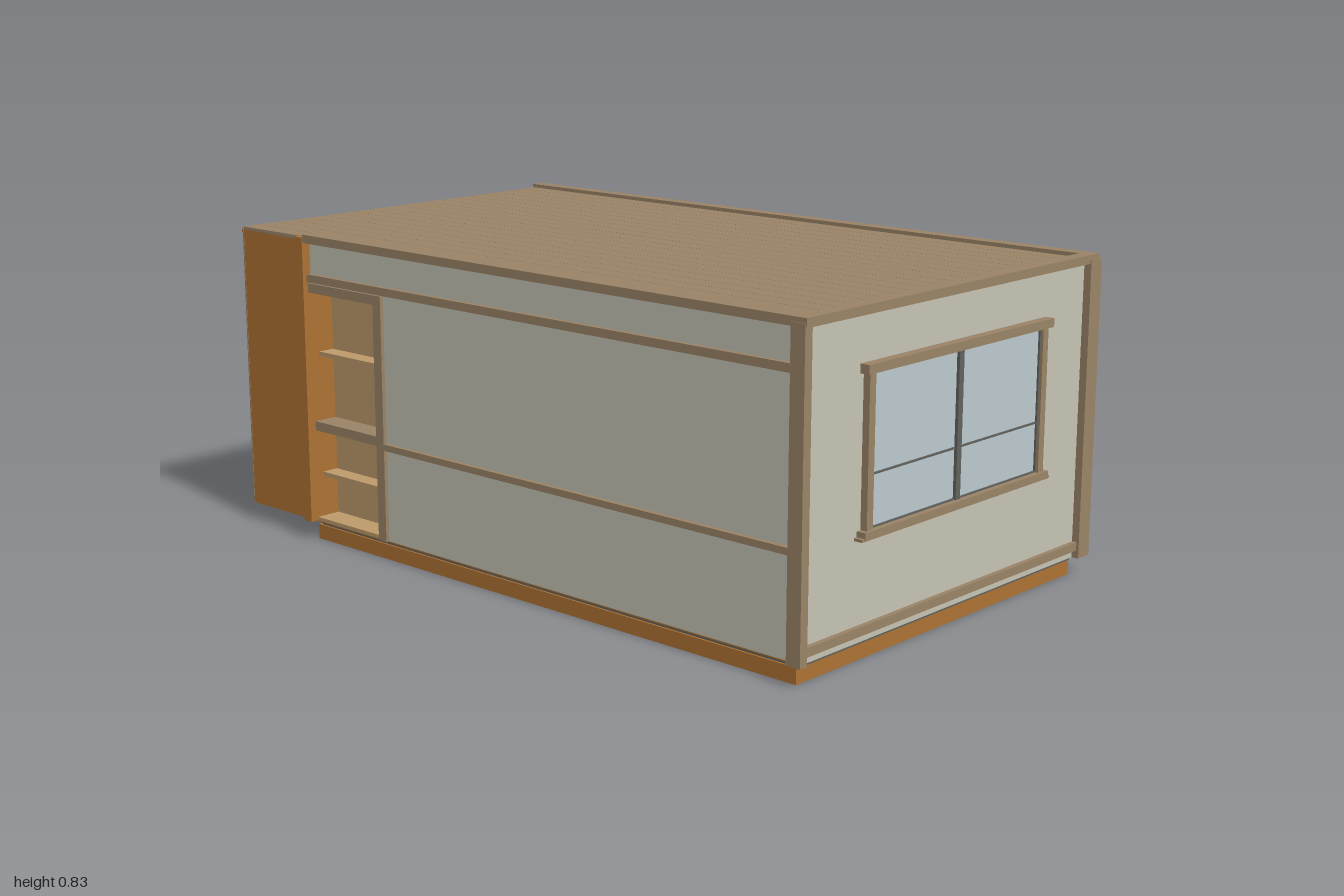
import * as THREE from 'three';

const material = (name, color) => {
  const m = new THREE.MeshStandardMaterial({ color });
  m.name = name;
  return m;
};

export function createModel() {
  const model = new THREE.Group();
  model.name = 'cabin';
  const siding = material('pale siding', 0xc6c4b4);
  const brown = material('brown trim', 0x9a8467);
  const orange = material('orange timber', 0xae7233);
  const glass = material('window glass', 0xbccace);
  const grey = material('dark grey metal', 0x62635f);
  const tan = material('tan board', 0xbd9a6a);

  // Box given by its lower and upper limits along each axis
  const box = (name, mat, x0, x1, y0, y1, z0, z1, parent = model) => {
    const mesh = new THREE.Mesh(new THREE.BoxGeometry(x1 - x0, y1 - y0, z1 - z0), mat);
    mesh.position.set((x0 + x1) / 2, (y0 + y1) / 2, (z0 + z1) / 2);
    mesh.name = name;
    parent.add(mesh);
    return mesh;
  };

  // Base and floor
  box('foundation', orange, -0.56, 0.54, 0, 0.04, -0.7, 0.955);
  box('floorSeal', grey, -0.555, 0.535, 0.04, 0.046, -0.69, 0.96);
  box('floor', orange, -0.558, 0.54, 0.046, 0.051, -0.978, 0.96);
  box('floorEdge', grey, 0.54, 0.558, 0.046, 0.051, -0.978, 0.96);

  // Walls, leaving a doorway recess on the left side
  box('mainWalls', siding, -0.49, 0.56, 0.05, 0.812, -0.98, 0.97);
  box('leftWall', siding, -0.56, -0.49, 0.05, 0.812, -0.42, 0.97);
  box('wallAboveDoor', siding, -0.56, -0.49, 0.69, 0.812, -0.7, -0.42);
  box('backCornerBlock', orange, -0.56, -0.49, 0.05, 0.812, -0.98, -0.7);
  box('backBrownPanel', brown, -0.561, 0.17, 0.05, 0.812, -0.984, -0.98);
  box('backPalePanel', siding, 0.17, 0.535, 0.05, 0.815, -0.988, -0.98);
  box('backRoofBatten', orange, -0.562, 0.17, 0.804, 0.814, -0.986, -0.98);

  // Corner posts
  box('frontLeftCorner', brown, -0.585, -0.56, 0.05, 0.818, 0.945, 0.985);
  box('frontRightCorner', brown, 0.53, 0.578, 0.05, 0.818, 0.94, 0.99);
  box('backRightCorner', brown, 0.535, 0.578, 0.05, 0.818, -1, -0.95);
  box('leftPost', orange, -0.585, -0.55, 0.05, 0.822, -0.73, -0.7);

  // Doorway lining, rails and jambs
  const door = new THREE.Group();
  door.name = 'doorway';
  model.add(door);
  box('doorBack', tan, -0.492, -0.485, 0.05, 0.69, -0.7, -0.42, door);
  box('doorJamb', brown, -0.57, -0.488, 0.05, 0.69, -0.44, -0.41, door);
  box('doorHead', brown, -0.57, -0.488, 0.675, 0.7, -0.7, -0.41, door);
  box('doorSill', tan, -0.562, -0.488, 0.05, 0.06, -0.7, -0.44, door);
  box('doorMiddleRail', brown, -0.56, -0.488, 0.3, 0.325, -0.7, -0.44, door);
  for (const y of [0.17, 0.5]) box('doorShelf', tan, -0.54, -0.488, y, y + 0.012, -0.7, -0.44, door);

  // Horizontal battens
  box('frontBottomTrim', brown, -0.56, 0.53, 0.07, 0.092, 0.965, 0.983);
  box('rightBottomTrim', brown, 0.555, 0.573, 0.07, 0.097, -0.95, 0.94);
  box('rightUpperBatten', brown, 0.555, 0.573, 0.703, 0.724, -0.7, 0.94);
  box('rightLowerBatten', brown, 0.555, 0.573, 0.297, 0.314, -0.7, 0.94);
  box('rightSeam', grey, 0.555, 0.562, 0.68, 0.685, -0.95, 0.94);
  box('leftUpperBatten', brown, -0.573, -0.555, 0.703, 0.724, -0.7, 0.945);
  box('leftLowerBatten', brown, -0.573, -0.555, 0.297, 0.314, -0.41, 0.945);

  // Roof planks over a deck, with raised edge boards
  box('roofDeck', brown, -0.56, 0.56, 0.81, 0.817, -0.98, 0.96);
  for (let i = 0; i < 20; i++) {
    const x = -0.56 + i * 0.055;
    box('roofPlank', brown, x + 0.0006, x + 0.0544, 0.812, 0.82, -0.982, 0.95);
  }
  box('frontRoofEdge', brown, -0.56, 0.535, 0.808, 0.83, 0.95, 0.987);
  box('rightRoofEdge', brown, 0.535, 0.573, 0.808, 0.83, -0.985, 0.987);
  box('leftRoofEdge', brown, -0.583, -0.545, 0.808, 0.83, -0.7, 0.987);

  // Two-pane sliding window facing +z, centred on its own x axis
  const addWindow = (name, half) => {
    const w = new THREE.Group();
    w.name = name;
    model.add(w);
    const inner = half - 0.022;
    box('pane', glass, -inner, inner, 0.315, 0.675, -0.002, 0.004, w);
    for (const s of [-1, 1]) {
      box('frameSide', brown, Math.min(s * half, s * inner), Math.max(s * half, s * inner),
        0.313, 0.677, -0.005, 0.016, w);
      box('sashEdge', grey, s * inner - 0.003, s * inner + 0.003, 0.315, 0.675, -0.002, 0.009, w);
    }
    box('head', brown, -half - 0.013, half + 0.013, 0.675, 0.697, -0.005, 0.023, w);
    box('sill', brown, -half - 0.013, half + 0.013, 0.297, 0.315, -0.005, 0.023, w);
    box('sillLip', brown, -half - 0.022, half + 0.022, 0.294, 0.301, -0.005, 0.02, w);
    box('mullion', grey, -0.009, 0.009, 0.315, 0.675, -0.002, 0.012, w);
    box('glazingBar', grey, -inner, inner, 0.438, 0.443, -0.002, 0.007, w);
    for (const y of [0.315, 0.671]) box('sashRail', grey, -inner, inner, y, y + 0.004, -0.002, 0.008, w);
    return w;
  };
  addWindow('frontWindow', 0.355).position.set(-0.004, 0, 0.972);
  const side = addWindow('sideWindow', 0.253);
  side.rotation.y = Math.PI / 2;
  side.position.set(0.562, 0, 0.314);

  return model;
}
